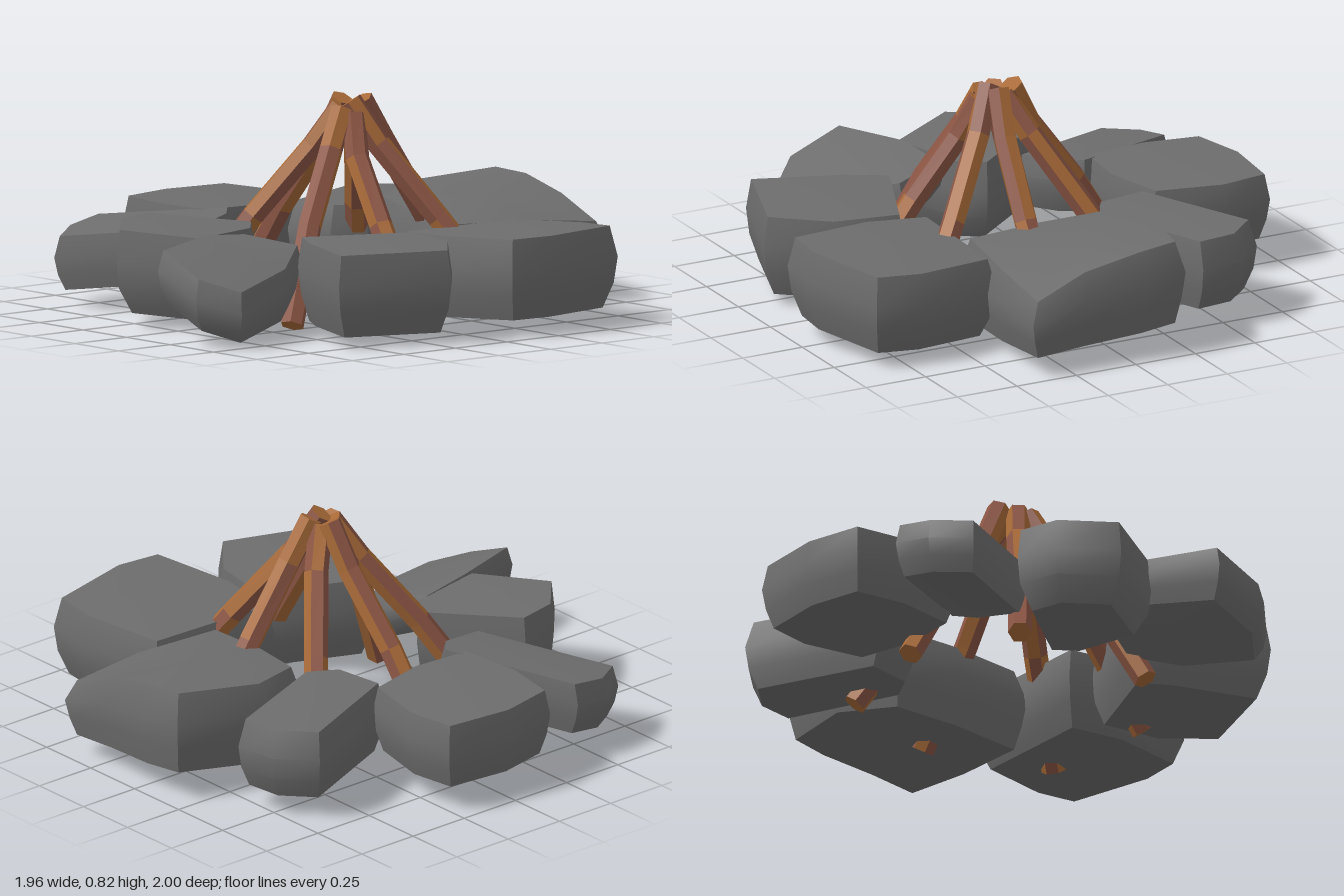
import * as THREE from 'three';
import { toCreasedNormals } from 'three/addons/utils/BufferGeometryUtils.js';

const stoneGrey = new THREE.MeshStandardMaterial({ color: 0x6d6d6d });
stoneGrey.name = 'stoneGrey';
const barkBrown = new THREE.MeshStandardMaterial({ color: 0x8c5645 });
barkBrown.name = 'barkBrown';
const woodOrange = new THREE.MeshStandardMaterial({ color: 0xa86a38 });
woodOrange.name = 'woodOrange';

// Rounded block: plan outline [x, z, drop of the top there] lofted through four rings,
// tilted by slopes sx and sz; base and crown are the scales of the lowest and highest ring
function stone(name, [y0, y1], [sx, sz], [base, crown], outline) {
  const n = outline.length;
  const cx = outline.reduce((s, p) => s + p[0], 0) / n;
  const cz = outline.reduce((s, p) => s + p[1], 0) / n;
  const pts = outline.map(([x, z, drop = 0]) => [x - cx, z - cz, drop])
    .sort((a, b) => Math.atan2(a[1], a[0]) - Math.atan2(b[1], b[0]));
  const rings = [[base, 0], [0.96, 0.3], [1, 0.62], [crown, 1]];
  const pos = [], index = [];
  const put = (x, y, z) => pos.push(cx + x, y + sx * x + sz * z, cz + z);
  for (const [s, t] of rings)
    for (const [x, z, drop] of pts) put(x * s, y0 + (y1 - y0 - drop) * t, z * s);
  put(0, y0 - 0.02, 0);
  put(0, y1 + 0.01, 0);
  const bottom = rings.length * n, top = bottom + 1, last = bottom - n;
  for (let j = 0; j < n; j++) {
    const k = (j + 1) % n;
    for (let r = 0; r < rings.length - 1; r++) {
      const a = r * n + j, b = r * n + k, c = b + n, d = a + n;
      index.push(a, d, b, b, d, c);
    }
    index.push(bottom, j, k, top, last + k, last + j);
  }
  const g = new THREE.BufferGeometry();
  g.setAttribute('position', new THREE.Float32BufferAttribute(pos, 3));
  g.setIndex(index);
  const mesh = new THREE.Mesh(toCreasedNormals(g, 0.65), stoneGrey);
  mesh.name = name;
  return mesh;
}

// Bent six-sided log with patches of two wood colours
function log(name, seed, path) {
  const SIDES = 6, R = 0.045;
  const p = path.map(a => new THREE.Vector3(...a));
  const rings = p.map((c, i) => {
    const t = p[Math.min(i + 1, p.length - 1)].clone().sub(p[Math.max(i - 1, 0)]).normalize();
    const u = new THREE.Vector3(0.3, 0, 1).cross(t).normalize();
    const v = t.clone().cross(u);
    return Array.from({ length: SIDES }, (_, j) => {
      const a = j / SIDES * Math.PI * 2 + seed;
      return c.clone().addScaledVector(u, R * Math.cos(a)).addScaledVector(v, R * Math.sin(a));
    });
  });
  const faces = [[], []];
  const add = (m, ...vs) => vs.forEach(v => faces[m].push(v.x, v.y, v.z));
  const end = p.length - 1;
  for (let j = 0; j < SIDES; j++) {
    const k = (j + 1) % SIDES;
    for (let s = 0; s < end; s++) {
      const a = rings[s][j], b = rings[s][k], c = rings[s + 1][k], d = rings[s + 1][j];
      const m = (j * 3 + s * 2 + seed * 5) % 7 < 3 ? 1 : 0;
      add(m, a, b, c, a, c, d);
    }
    add(1, p[0], rings[0][k], rings[0][j], p[end], rings[end][j], rings[end][k]);
  }
  const g = new THREE.BufferGeometry();
  g.setAttribute('position', new THREE.Float32BufferAttribute(faces.flat(), 3));
  g.addGroup(0, faces[0].length / 3, 0);
  g.addGroup(faces[0].length / 3, faces[1].length / 3, 1);
  g.computeVertexNormals();
  const mesh = new THREE.Mesh(g, [barkBrown, woodOrange]);
  mesh.name = name;
  return mesh;
}

export function createModel() {
  const model = new THREE.Group();
  model.name = 'campfire';

  // Ring of stones
  const ring = new THREE.Group();
  ring.name = 'stoneRing';
  ring.add(
    stone('backStone', [0.08, 0.4], [-0.07, -0.1], [0.9, 0.9],
      [[-0.31, -0.62], [-0.22, -0.98], [-0.05, -1], [0.2, -0.98, 0.03], [0.42, -0.98, 0.1], [0.41, -0.65, 0.04], [0.36, -0.28], [0.05, -0.3], [-0.21, -0.36]]),
    stone('backLeftStone', [0.06, 0.365], [0.05, 0], [0.85, 0.92],
      [[0.36, -0.58], [0.7, -0.65], [0.89, -0.63], [0.98, -0.25], [0.96, -0.06], [0.6, 0.01], [0.34, -0.02]]),
    stone('frontLeftStone', [0.05, 0.36], [0, 0], [0.85, 0.94],
      [[0.45, -0.02], [0.72, 0.03], [0.92, 0.2], [0.77, 0.62], [0.42, 0.49], [0.27, 0.4]]),
    stone('frontStone', [0.12, 0.32], [-0.42, 0], [0.85, 0.93],
      [[0.03, 0.45, 0.06], [0.25, 0.36], [0.4, 0.55], [0.52, 0.88], [0.4, 1], [0.18, 1], [0.06, 0.68, 0.03]]),
    stone('frontMiddleStone', [0.06, 0.375], [-0.06, 0], [0.76, 0.95],
      [[-0.42, 0.55], [-0.08, 0.31], [0.02, 0.4], [0.09, 0.72], [-0.2, 0.88], [-0.38, 0.72]]),
    stone('frontRightStone', [0.12, 0.325], [0.03, -0.17], [0.88, 0.94],
      [[-0.89, 0.4], [-0.4, 0.15], [-0.32, 0.22], [-0.27, 0.43], [-0.42, 0.51], [-0.77, 0.7], [-0.87, 0.56]]),
    stone('rightStone', [0.11, 0.365], [0, 0], [0.88, 0.94],
      [[-0.95, -0.28], [-0.75, -0.31], [-0.48, -0.25], [-0.42, 0], [-0.44, 0.24], [-0.7, 0.27], [-0.93, 0.23], [-0.98, 0]]),
    stone('backRightStone', [0.09, 0.36], [0, 0], [0.85, 0.9],
      [[-0.68, -0.68], [-0.55, -0.8], [-0.38, -0.82], [-0.18, -0.32], [-0.25, -0.2], [-0.46, -0.17]]),
  );

  // Logs leaning together: foot, knee, bend and tip of each
  const logs = [
    [[-0.5, 0.035, 0.04], [-0.28, 0.38, 0.01], [-0.08, 0.64, -0.02], [0.01, 0.81, -0.04]],
    [[-0.32, 0.035, 0.45], [-0.15, 0.38, 0.26], [-0.01, 0.64, 0.09], [0.06, 0.79, 0.01]],
    [[0.3, 0.035, 0.45], [0.2, 0.38, 0.28], [0.12, 0.64, 0.11], [0.09, 0.78, 0.03]],
    [[0.6, 0.035, 0.1], [0.36, 0.38, 0.07], [0.19, 0.61, 0.04], [0.12, 0.76, 0]],
    [[0.58, 0.035, -0.38], [0.35, 0.38, -0.22], [0.17, 0.65, -0.08], [0.09, 0.81, -0.01]],
    [[0.1, 0.035, -0.57], [0.11, 0.38, -0.34], [0.1, 0.65, -0.16], [0.08, 0.81, -0.07]],
    [[-0.36, 0.035, -0.43], [-0.17, 0.38, -0.26], [-0.02, 0.64, -0.13], [0.05, 0.78, -0.05]],
  ];
  const pile = new THREE.Group();
  pile.name = 'logPile';
  logs.forEach((path, i) => pile.add(log('log' + (i + 1), i, path)));

  model.add(ring, pile);
  return model;
}
